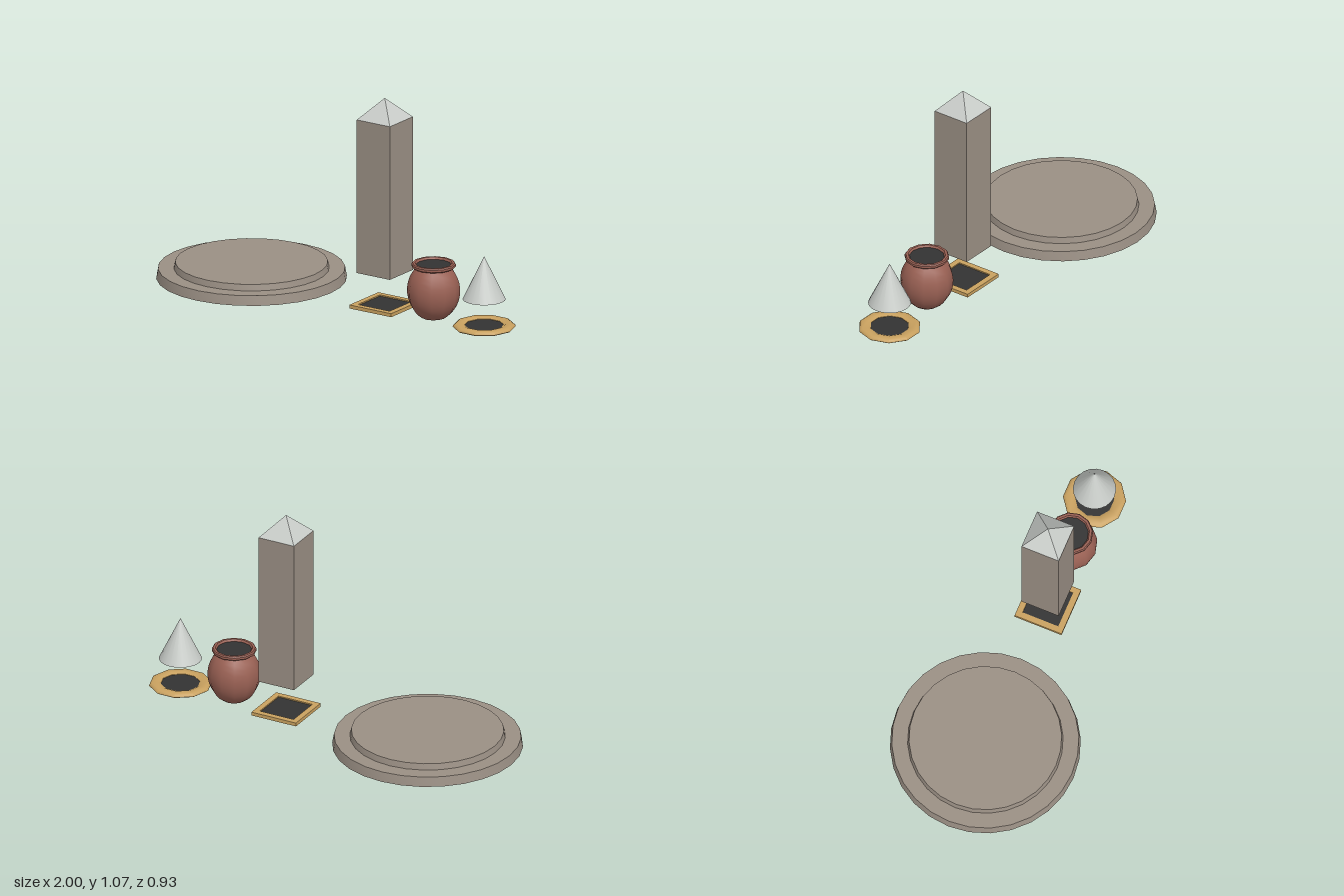
import * as THREE from 'three';
import { toCreasedNormals } from 'three/addons/utils/BufferGeometryUtils.js';

const material = (name, color, flatShading = false) => {
  const m = new THREE.MeshStandardMaterial({ color, side: THREE.DoubleSide, flatShading });
  m.name = name;
  return m;
};

// Turned part from [radius, height] pairs, listed bottom to top
function turned(profile, sides, start = 0) {
  const points = profile.map(([r, y]) => new THREE.Vector2(r, y));
  return toCreasedNormals(new THREE.LatheGeometry(points, sides, start), 0.66);
}

function part(parent, name, geometry, mat, x = 0, y = 0) {
  const mesh = new THREE.Mesh(geometry, mat);
  mesh.name = name;
  mesh.position.set(x, y, 0);
  parent.add(mesh);
  return mesh;
}

function group(parent, name, x) {
  const g = new THREE.Group();
  g.name = name;
  g.position.x = x;
  parent.add(g);
  return g;
}

// Flat horizontal disc
const disc = (r, sides) => new THREE.CircleGeometry(r, sides).rotateX(-Math.PI / 2);

// Open four-sided column or pyramid, square to the axes
const square = (top, bottom, height) =>
  new THREE.CylinderGeometry(top * Math.SQRT2, bottom * Math.SQRT2, height, 4, 1, true)
    .rotateY(Math.PI / 4).toNonIndexed();

export function createModel() {
  const model = new THREE.Group();
  model.name = 'monumentSet';
  const stone = material('stone', 0x9a8f84);
  const pale = material('paleStone', 0xc8ccc8);
  const clay = material('clay', 0x9a6154);
  const gold = material('gold', 0xc9a15f);
  const dark = material('dark', 0x333333);

  // Two-step round dais, hollow underneath
  part(model, 'dais', turned([
    [0.465, 0.008], [0.456, 0.057], [0.379, 0.057], [0.372, 0.088], [0, 0.088],
  ], 28), stone, -0.534);

  // Square pillar floating over a framed plate
  const pillar = group(model, 'pillar', 0.254);
  const half = 0.098;
  const shaft = square(half, half, 0.782);
  const cap = square(0, half, 0.104);
  for (const g of [shaft, cap]) g.computeVertexNormals();
  part(pillar, 'shaft', shaft, stone, 0, 0.57);
  part(pillar, 'pointedCap', cap, pale, 0, 1.013);

  const outline = new THREE.Shape();
  const rect = (path, s) => path.moveTo(-s, -s).lineTo(s, -s).lineTo(s, s).lineTo(-s, s).closePath();
  rect(outline, 0.124);
  const opening = new THREE.Path();
  rect(opening, 0.094);
  outline.holes.push(opening);
  const frame = new THREE.ExtrudeGeometry(outline, { depth: 0.018, bevelEnabled: false });
  part(pillar, 'squareFrame', frame.rotateX(-Math.PI / 2), gold);
  part(pillar, 'squarePlate', new THREE.BoxGeometry(0.19, 0.006, 0.19), dark, 0, 0.009);

  // Round pot, open below, with a thick lip
  const pot = group(model, 'pot', 0.543);
  const belly = [];
  for (let i = 0; i <= 10; i++) {
    const a = THREE.MathUtils.lerp(-1.093, 0.84, i / 10);
    belly.push([0.13 * Math.cos(a), 0.135 + 0.152 * Math.sin(a)]);
  }
  belly.push([0.087, 0.258]);
  part(pot, 'potBody', turned(belly, 12), clay);
  part(pot, 'potLip', turned([
    [0.086, 0.254], [0.104, 0.254], [0.109, 0.259], [0.109, 0.27],
    [0.104, 0.276], [0.092, 0.276], [0.086, 0.268], [0.086, 0.254],
  ], 12), clay);
  part(pot, 'potMouth', disc(0.088, 20), dark, 0, 0.266);

  // Ten-sided dish with a hollow cone floating above
  const dish = group(model, 'dish', 0.842);
  part(dish, 'dishRing', turned([
    [0.094, 0], [0.147, 0], [0.154, 0.005], [0.151, 0.013], [0.14, 0.02],
    [0.11, 0.02], [0.096, 0.013], [0.094, 0],
  ], 10, Math.PI / 2), gold);
  part(dish, 'dishPlate', disc(0.097, 20), dark, 0, 0.011);
  part(dish, 'cone', new THREE.ConeGeometry(0.105, 0.218, 20, 1, true), pale, 0, 0.254);

  return model;
}
